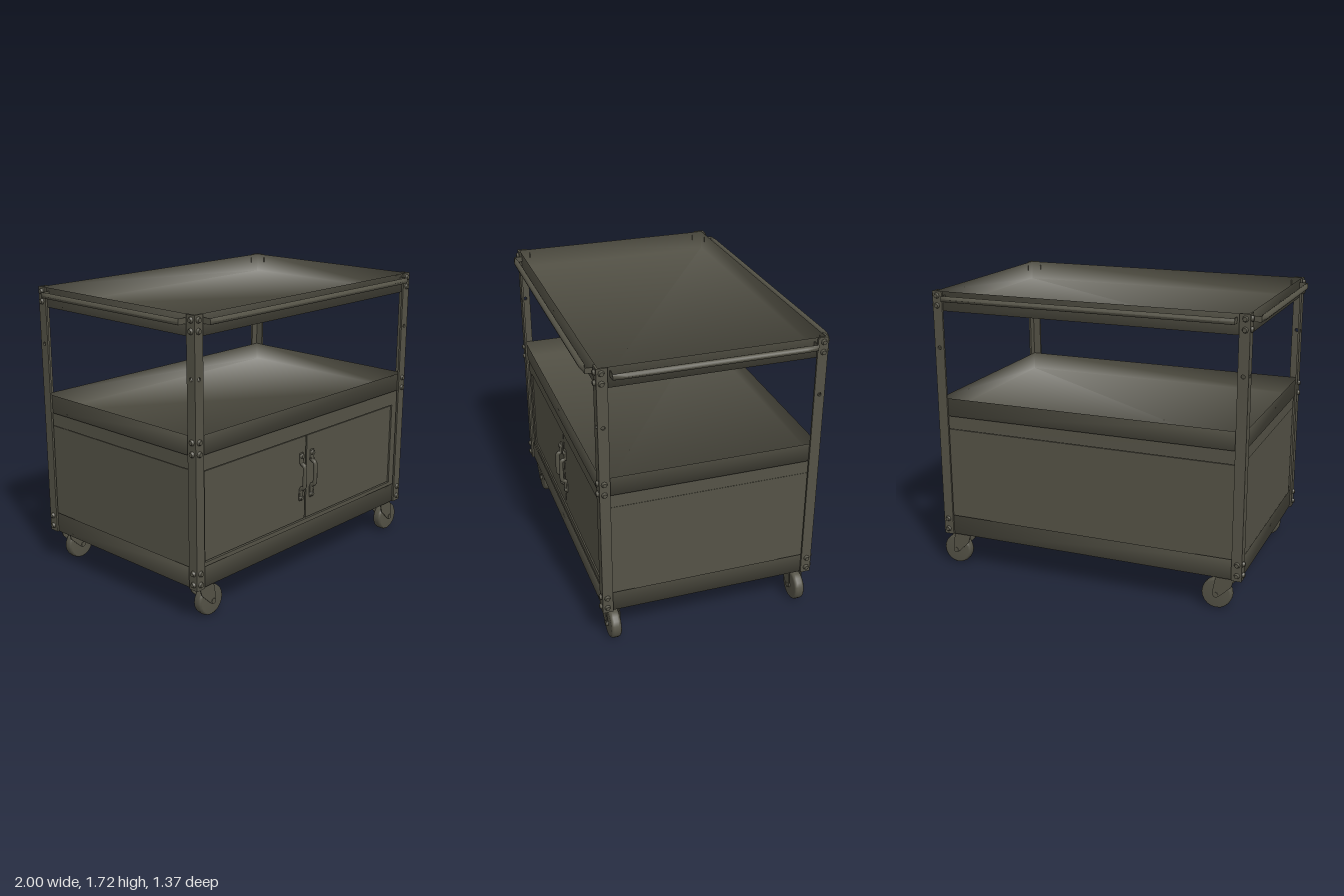
import * as THREE from 'three';
import { RoundedBoxGeometry } from 'three/addons/geometries/RoundedBoxGeometry.js';
import { mergeVertices } from 'three/addons/utils/BufferGeometryUtils.js';

const paint = new THREE.MeshStandardMaterial({ color: 0x545246, side: THREE.DoubleSide });
paint.name = 'dark olive paint';

function add(parent, name, geometry, x = 0, y = 0, z = 0) {
  const mesh = new THREE.Mesh(geometry, paint);
  mesh.name = name;
  mesh.position.set(x, y, z);
  parent.add(mesh);
  return mesh;
}

const box = (w, h, d) => new THREE.BoxGeometry(w, h, d);

// Box given by its limits
function span(parent, name, x0, x1, y0, y1, z0, z1) {
  return add(parent, name, box(x1 - x0, y1 - y0, z1 - z0), (x0 + x1) / 2, (y0 + y1) / 2, (z0 + z1) / 2);
}

// Open-topped sheet metal tray: a box without its top face, softly shaded over its folds
function trayGeometry(w, h, d) {
  let g = box(w, h, d);
  g.setIndex([...g.index.array].filter((v, i) => i < 12 || i > 17));
  g.clearGroups();
  g.deleteAttribute('normal');
  g.deleteAttribute('uv');
  g = mergeVertices(g);
  const p = g.attributes.position;
  const normals = [];
  for (let i = 0; i < p.count; i++) {
    const n = new THREE.Vector3(Math.sign(p.getX(i)), p.getY(i) < 0 ? -1 : 0, Math.sign(p.getZ(i))).normalize();
    normals.push(n.x, n.y, n.z);
  }
  g.setAttribute('normal', new THREE.Float32BufferAttribute(normals, 3));
  return g;
}

// Tube through the given points
function smoothTube(points, radius) {
  const path = new THREE.CatmullRomCurve3(points.map(p => new THREE.Vector3(...p)), false, 'catmullrom', 0.3);
  return new THREE.TubeGeometry(path, 40, radius, 8);
}

// Push rail along x with flattened ends and a thin bracket at each end
function makeRail(name, length, reach) {
  const rail = new THREE.Group();
  rail.name = name;
  const r = 0.017;
  const g = new THREE.CylinderGeometry(r, r, length, 12, 3);
  const p = g.attributes.position;
  for (let i = 0; i < p.count; i++) {
    const y = p.getY(i);
    if (Math.abs(y) > length * 0.4) p.setZ(i, p.getZ(i) * 0.15);
    else p.setY(i, Math.sign(y) * (length / 2 - 0.07));
  }
  g.computeVertexNormals();
  add(rail, 'railBar', g.rotateZ(Math.PI / 2));
  for (const s of [-1, 1]) {
    add(rail, 'railBracket', box(0.005, 0.032, reach), s * (length / 2 - 0.002), 0, -reach / 2);
  }
  return rail;
}

// One leg of an angle-iron post, with a round hole
function postPlate() {
  const s = new THREE.Shape([[-0.03, 0], [0.03, 0], [0.03, 1.508], [-0.03, 1.508]].map(p => new THREE.Vector2(...p)));
  const hole = new THREE.Path();
  hole.absarc(0, 1.173, 0.011, 0, Math.PI * 2, true);
  s.holes.push(hole);
  const g = new THREE.ExtrudeGeometry(s, { depth: 0.012, bevelEnabled: false, curveSegments: 6 });
  return g.translate(0, 0, -0.006);
}

function bolt(parent, x, y, z, alongX) {
  const g = new THREE.CylinderGeometry(0.012, 0.018, 0.014, 8);
  if (alongX) g.rotateZ(-Math.sign(x) * Math.PI / 2);
  else g.rotateX(Math.sign(z) * Math.PI / 2);
  add(parent, 'bolt', g, x, y, z);
}

function makePost(sx, sz) {
  const post = new THREE.Group();
  post.name = 'cornerPost';
  add(post, 'postFrontLeg', postPlate(), sx * 0.915, 0.207, sz * 0.629);
  add(post, 'postSideLeg', postPlate().rotateY(Math.PI / 2), sx * 0.939, 0.207, sz * 0.605);
  // The middle shelf is bolted through the front posts only
  const heights = [0.24, 0.305, 1.63, 1.688];
  if (sz > 0) heights.push(0.98, 1.045);
  for (const y of heights) {
    bolt(post, sx * 0.918, y, sz * 0.641, false);
    bolt(post, sx * 0.951, y, sz * 0.608, true);
  }
  return post;
}

function makeCaster(x, z) {
  const caster = new THREE.Group();
  caster.name = 'caster';
  caster.position.set(x, 0, z);
  // Rounded wheel turned about its axle
  const profile = [[0.015, -0.03], [0.078, -0.03], [0.087, -0.023], [0.09, -0.012],
    [0.09, 0.012], [0.087, 0.023], [0.078, 0.03], [0.015, 0.03]].map(p => new THREE.Vector2(...p));
  add(caster, 'wheel', new THREE.LatheGeometry(profile, 20).rotateX(Math.PI / 2), 0.05, 0.09, 0);
  add(caster, 'axle', new THREE.CylinderGeometry(0.016, 0.016, 0.09, 8).rotateX(Math.PI / 2), 0.05, 0.09, 0);
  // Swivel head and fork, with the wheel trailing to one side
  add(caster, 'swivel', new THREE.CylinderGeometry(0.03, 0.03, 0.02, 12), 0, 0.2, 0);
  add(caster, 'forkTop', box(0.105, 0.008, 0.084), 0, 0.195, 0);
  const side = new THREE.Shape([[-0.055, 0.199], [-0.04, 0.15], [0.032, 0.08], [0.05, 0.072],
    [0.068, 0.085], [0.066, 0.13], [0.052, 0.199]].map(p => new THREE.Vector2(...p)));
  for (const s of [-1, 1]) {
    const g = new THREE.ExtrudeGeometry(side, { depth: 0.006, bevelEnabled: false });
    add(caster, 'forkSide', g, 0, 0, s * 0.039 - 0.003);
  }
  return caster;
}

function makeDoor(s) {
  const door = new THREE.Group();
  door.name = s > 0 ? 'leftDoor' : 'rightDoor';
  add(door, 'doorPanel', box(0.846, 0.516, 0.016), s * 0.428, 0.605, 0.595);
  // Bowed pull handle on two feet
  const x = s * 0.048;
  add(door, 'doorHandle', smoothTube([[x, 0.5, 0.608], [x, 0.545, 0.612], [x, 0.565, 0.635],
    [x, 0.685, 0.635], [x, 0.705, 0.612], [x, 0.75, 0.608]], 0.013));
  for (const y of [0.505, 0.735]) {
    add(door, 'handleFoot', new RoundedBoxGeometry(0.03, 0.07, 0.012, 2, 0.005), x, y, 0.608);
    bolt(door, x, y + (y > 0.6 ? 0.015 : -0.015), 0.617, false);
  }
  return door;
}

export function createModel() {
  const cart = new THREE.Group();
  cart.name = 'utilityCart';

  // Three open trays
  for (const [name, y0, y1] of [['bottomTray', 0.207, 0.328], ['middleTray', 0.963, 1.073], ['topTray', 1.598, 1.713]]) {
    add(cart, name, trayGeometry(1.864, y1 - y0, 1.244), 0, (y0 + y1) / 2, 0);
  }

  // Cabinet core, header band and side and back panels
  const cabinet = new THREE.Group();
  cabinet.name = 'cabinet';
  cart.add(cabinet);
  span(cabinet, 'core', -0.905, 0.905, 0.215, 0.96, -0.595, 0.588);
  span(cabinet, 'headerFront', -0.915, 0.915, 0.87, 0.96, 0.58, 0.61);
  span(cabinet, 'headerBack', -0.915, 0.915, 0.88, 0.96, -0.61, -0.58);
  span(cabinet, 'panelBack', -0.915, 0.915, 0.3, 0.876, -0.606, -0.58);
  span(cabinet, 'sillFront', -0.915, 0.915, 0.3, 0.342, 0.58, 0.61);
  for (const s of [-1, 1]) {
    add(cabinet, 'headerSide', box(0.03, 0.08, 1.2), s * 0.905, 0.92, 0);
    add(cabinet, 'panelSide', box(0.03, 0.576, 1.2), s * 0.901, 0.588, 0);
    add(cabinet, 'frameFront', box(0.06, 0.53, 0.03), s * 0.886, 0.605, 0.595);
    cabinet.add(makeDoor(s));
  }

  // Corner posts and casters
  for (const sx of [-1, 1]) {
    for (const sz of [-1, 1]) {
      cart.add(makePost(sx, sz));
      cart.add(makeCaster(sx * 0.84, sz * 0.565));
    }
  }

  // Push rails around the top tray
  for (const s of [-1, 1]) {
    const long = makeRail('longRail', 1.74, 0.05);
    long.position.set(0, 1.677, s * 0.67);
    long.rotation.y = s > 0 ? 0 : Math.PI;
    const short = makeRail('shortRail', 1.12, 0.054);
    short.position.set(s * 0.983, 1.677, 0);
    short.rotation.y = s * Math.PI / 2;
    cart.add(long, short);
  }
  return cart;
}
